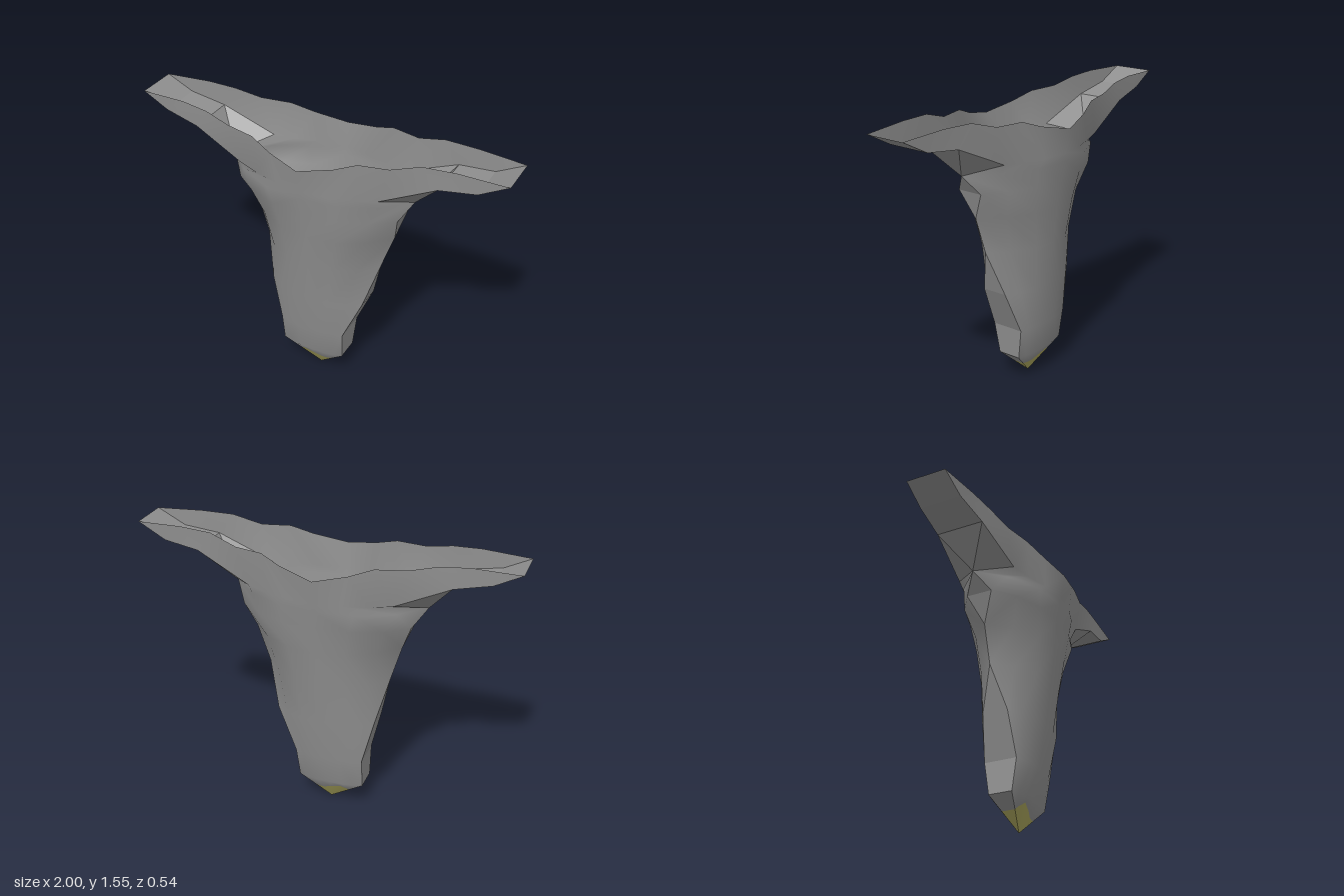
import * as THREE from 'three';

const grey = new THREE.MeshStandardMaterial({ color: 0x8f8f8f, side: THREE.DoubleSide });
grey.name = 'stone grey';
const yellow = new THREE.MeshStandardMaterial({ color: 0xaca75e, side: THREE.DoubleSide });
yellow.name = 'dull yellow';

// Upper rim and lower wing contour, tip to tip: [x, y, z]
const rim = [
  [-1, 1.53, 0.11], [-0.75, 1.54, 0.125], [-0.6, 1.53, 0.14], [-0.46, 1.5, 0.163], [-0.3, 1.495, 0.195],
  [-0.18, 1.455, 0.232], [-0.01, 1.42, 0.272], [0.17, 1.46, 0.232], [0.28, 1.5, 0.2], [0.43, 1.5, 0.167],
  [0.58, 1.545, 0.14], [0.75, 1.55, 0.125], [1, 1.54, 0.11],
];
const wingLine = [
  [-1, 1.53, 0.11], [-0.86, 1.46, 0.115], [-0.67, 1.42, 0.13], [-0.39, 1.3, 0.162], [-0.28, 1.29, 0.193],
  [-0.15, 1.29, 0.228], [-0.01, 1.29, 0.25], [0.14, 1.29, 0.228], [0.26, 1.29, 0.193], [0.37, 1.3, 0.162],
  [0.66, 1.435, 0.13], [0.85, 1.46, 0.115], [1, 1.54, 0.11],
];

// Body cross-sections: [y, left x, right x, half-depth at the edge, half-depth in the middle]
const sections = [
  [1.245, -0.53, 0.5, 0, 0.242], [1.15, -0.46, 0.44, 0.07, 0.226], [1.0, -0.4, 0.4, 0, 0.205],
  [0.8, -0.34, 0.33, 0, 0.18], [0.56, -0.28, 0.26, 0.07, 0.15], [0.32, -0.22, 0.155, 0.09, 0.122],
  [0.15, -0.22, 0.142, 0.065, 0.09],
];
const columns = [-1, -0.74, -0.38, 0, 0.38, 0.74, 1];
const body = sections.map(([y, x0, x1, ze, zc]) => columns.map((t) => [
  x0 + (x1 - x0) * (t + 1) / 2, y, ze + (zc - ze) * (1 - Math.abs(t) ** 2.6),
]));

// Wavy border of the coloured tip, as a fraction of the way up from the point
const tip = [-0.02, 0, 0];
const tipShare = [0.57, 0.68, 0.84, 0.68, 0.54, 0.52, 0.53];
const border = body[body.length - 1].map((p, j) => p.map((v, k) => tip[k] + (v - tip[k]) * tipShare[j]));
const point = columns.map(() => tip);

const mirrorZ = ([x, y, z]) => [x, y, -z];

// Sews pairs of rows together; smooth sheets share their vertices
function sew(bands, reverse, flat) {
  const points = [], index = [], ids = new Map();
  const id = (p) => {
    const key = p.map((v) => v.toFixed(4)).join();
    if (!ids.has(key)) { ids.set(key, points.length / 3); points.push(...p); }
    return ids.get(key);
  };
  const tri = (a, b, c) => {
    if (a === b || b === c || a === c) return;
    index.push(...(reverse ? [a, c, b] : [a, b, c]));
  };
  for (const [top, low] of bands) {
    for (let j = 0; j + 1 < top.length; j++) {
      const [a, b, c, d] = [top[j], top[j + 1], low[j], low[j + 1]].map(id);
      tri(a, c, b);
      tri(b, c, d);
    }
  }
  let geo = new THREE.BufferGeometry();
  geo.setAttribute('position', new THREE.Float32BufferAttribute(points, 3));
  geo.setIndex(index);
  if (flat) geo = geo.toNonIndexed();
  geo.computeVertexNormals();
  return geo;
}

export function createModel() {
  const group = new THREE.Group();
  group.name = 'hollowHorn';
  const add = (name, geo, mat) => {
    const mesh = new THREE.Mesh(geo, mat);
    mesh.name = name;
    group.add(mesh);
  };

  // Front and back walls, with the coloured tip below
  const rows = [...body, border];
  const wall = [[rim, wingLine], [wingLine.slice(3, 10), body[0]]];
  for (let i = 0; i + 1 < rows.length; i++) wall.push([rows[i], rows[i + 1]]);
  const flip = (bands) => bands.map((band) => band.map((row) => row.map(mirrorZ)));
  add('frontWall', sew(wall, false, false), grey);
  add('backWall', sew(flip(wall), true, false), grey);
  add('frontTip', sew([[border, point]], false, false), yellow);
  add('backTip', sew(flip([[border, point]]), true, false), yellow);

  // Wing floors, notches and narrow side strips
  for (const side of ['right', 'left']) {
    const isLeft = side === 'left';
    const w = isLeft ? [...wingLine].reverse() : wingLine;
    const edge = (row) => row[isLeft ? row.length - 1 : 0];
    const pair = (p) => [p, mirrorZ(p)];
    const strip = (path) => path.slice(1).map((p, i) => [pair(path[i]), pair(p)]);

    add(side + 'WingFloor', sew(strip([w[0], w[1], w[2]]), !isLeft, true), grey);

    const notch = edge(body[0]);
    add(side + 'Notch', sew([
      [pair(w[2]), [notch, notch]],
      [[w[2], w[2]], [w[3], notch]],
      [[mirrorZ(w[2]), mirrorZ(w[2])], [notch, mirrorZ(w[3])]],
    ], !isLeft, true), grey);

    add(side + 'Strip', sew(strip(rows.map(edge)), !isLeft, true), grey);
    add(side + 'TipSide', sew(strip([edge(border), tip]), !isLeft, true), yellow);
  }
  return group;
}
